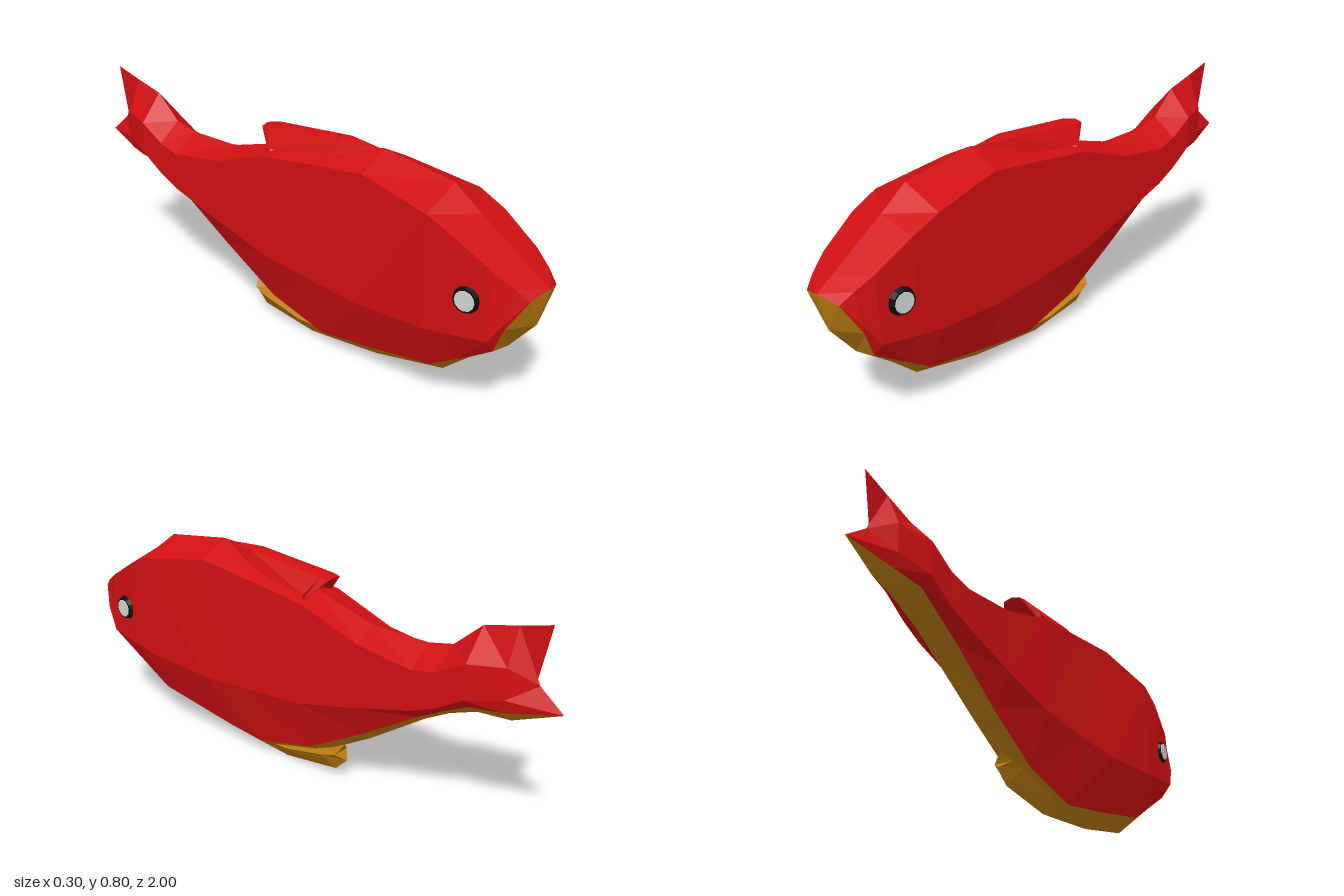
import * as THREE from 'three';

const flat = (name, color) => {
  const m = new THREE.MeshStandardMaterial({ color, flatShading: true, side: THREE.DoubleSide });
  m.name = name;
  return m;
};

// Skins half cross-sections (top to bottom, listed front to back) and mirrors them in x
function loft(sections) {
  const pos = [];
  const tri = (a, b, c) => {
    const t = new THREE.Triangle(...[a, b, c].map((p) => new THREE.Vector3(...p)));
    if (t.getArea() < 1e-7) return;
    pos.push(...a, ...b, ...c);
    for (const p of [a, c, b]) pos.push(-p[0], p[1], p[2]);
  };
  for (let s = 0; s + 1 < sections.length; s++) {
    const p = sections[s], q = sections[s + 1];
    for (let i = 0; i + 1 < p.length; i++) {
      tri(p[i], p[i + 1], q[i + 1]);
      tri(p[i], q[i + 1], q[i]);
    }
  }
  const g = new THREE.BufferGeometry();
  g.setAttribute('position', new THREE.Float32BufferAttribute(pos, 3));
  g.computeVertexNormals();
  return g;
}

export function createModel() {
  const red = flat('red', 0xd01012);
  const gold = flat('gold', 0xb87a10);
  const black = flat('black', 0x0a0d0d);
  const white = flat('pale grey', 0xd4d4d4);

  const group = new THREE.Group();
  group.name = 'fish';
  const add = (name, geometry, material) => {
    const mesh = new THREE.Mesh(geometry, material);
    mesh.name = name;
    group.add(mesh);
    return mesh;
  };

  // Trunk: z, ridge y, shoulder x y, flank x y, belly edge x y, keel y
  const trunk = [
    [0.88, 0.59, 0.118, 0.565, 0.128, 0.34, 0.088, 0.29, 0.27],
    [0.75, 0.677, 0.138, 0.645, 0.138, 0.32, 0.082, 0.205, 0.175],
    [0.65, 0.75, 0.143, 0.69, 0.143, 0.305, 0.075, 0.14, 0.09],
    [0.38, 0.79, 0.112, 0.735, 0.13, 0.285, 0.06, 0.088, 0.033],
    [0.17, 0.75, 0.105, 0.708, 0.118, 0.292, 0.05, 0.055, 0.012],
    [-0.07, 0.695, 0.1, 0.675, 0.11, 0.31, 0.045, 0.115, 0.075],
    [-0.3, 0.63, 0.095, 0.595, 0.102, 0.365, 0.045, 0.245, 0.21],
    [-0.52, 0.63, 0.095, 0.565, 0.097, 0.425, 0.05, 0.385, 0.36],
    [-0.61, 0.65, 0.09, 0.585, 0.092, 0.46, 0.05, 0.435, 0.41],
    [-0.71, 0.74, 0.088, 0.64, 0.09, 0.52, 0.055, 0.485, 0.448],
    [-0.83, 0.77, 0.052, 0.65, 0.055, 0.545, 0.04, 0.497, 0.458],
  ].map(([z, yt, xs, ys, xl, yl, xb, yb, yk]) =>
    [[0, yt, z], [xs, ys, z], [xl, yl, z], [xb, yb, z], [0, yk, z]]);

  // Snout and tail close the two ends
  const lip = [0.075, 0.49, 0.98];
  const sections = [
    [[0, 0.51, 1], lip, lip, lip, [0, 0.483, 0.995]],
    [[0, 0.545, 0.945], [0.095, 0.525, 0.94], [0.113, 0.42, 0.93], [0.108, 0.39, 0.925], [0, 0.38, 0.97]],
    ...trunk,
    [[0, 0.8, -0.94], [0, 0.62, -0.905], [0, 0.6, -0.915], [0, 0.53, -1], [0, 0.53, -1]],
  ];
  add('body', loft(sections.map((s) => s.slice(0, 4))), red);
  add('mouthAndBelly', loft([[lip, [0, 0.51, 1]], ...sections.map((s) => s.slice(3))]), gold);

  // Swept-back dorsal fin with flared sides
  add('dorsalFin', loft([
    [[0, 0.785, 0.37], [0, 0.785, 0.37], [0.04, 0.755, 0.33]],
    [[0, 0.793, 0.22], [0.03, 0.785, 0.22], [0.055, 0.725, 0.2]],
    [[0, 0.762, -0.1], [0.035, 0.757, -0.1], [0.08, 0.7, -0.06]],
    [[0, 0.757, -0.135], [0.032, 0.752, -0.13], [0.078, 0.675, -0.055]],
    [[0, 0.715, -0.06], [0.03, 0.71, -0.06], [0.07, 0.67, -0.05]],
    [[0, 0.67, -0.05], [0.03, 0.67, -0.05], [0.07, 0.66, -0.05]],
  ]), red);

  // Belly fin
  add('bellyFin', loft([
    [[0, 0.05, 0.17], [0.02, 0.045, 0.17], [0, 0.012, 0.17]],
    [[0, 0.08, 0.05], [0.045, 0.062, 0.05], [0.03, 0.025, 0.07], [0, 0.004, 0.08]].filter((_, i) => i !== 2),
    [[0, 0.115, -0.12], [0.048, 0.1, -0.12], [0, 0.035, -0.15]],
    [[0, 0.145, -0.19], [0.035, 0.11, -0.17], [0, 0.085, -0.2]],
    [[0, 0.11, -0.17], [0, 0.11, -0.17], [0, 0.11, -0.17]],
  ]), gold);

  // Eyes: dark rim with a pale disc, turned slightly forward
  for (const side of [1, -1]) {
    const eye = new THREE.Group();
    eye.name = side > 0 ? 'leftEye' : 'rightEye';
    const rim = new THREE.Mesh(new THREE.CylinderGeometry(0.04, 0.049, 0.022, 12), black);
    rim.name = 'eyeRim';
    const disc = new THREE.Mesh(new THREE.CylinderGeometry(0.034, 0.034, 0.004, 12), white);
    disc.name = 'eyeDisc';
    disc.position.y = 0.011;
    eye.add(rim, disc);
    eye.rotation.set(0, side * -0.1, side * -Math.PI / 2);
    eye.position.set(side * (side > 0 ? 0.135 : 0.131), 0.455, 0.8);
    group.add(eye);
  }
  return group;
}
